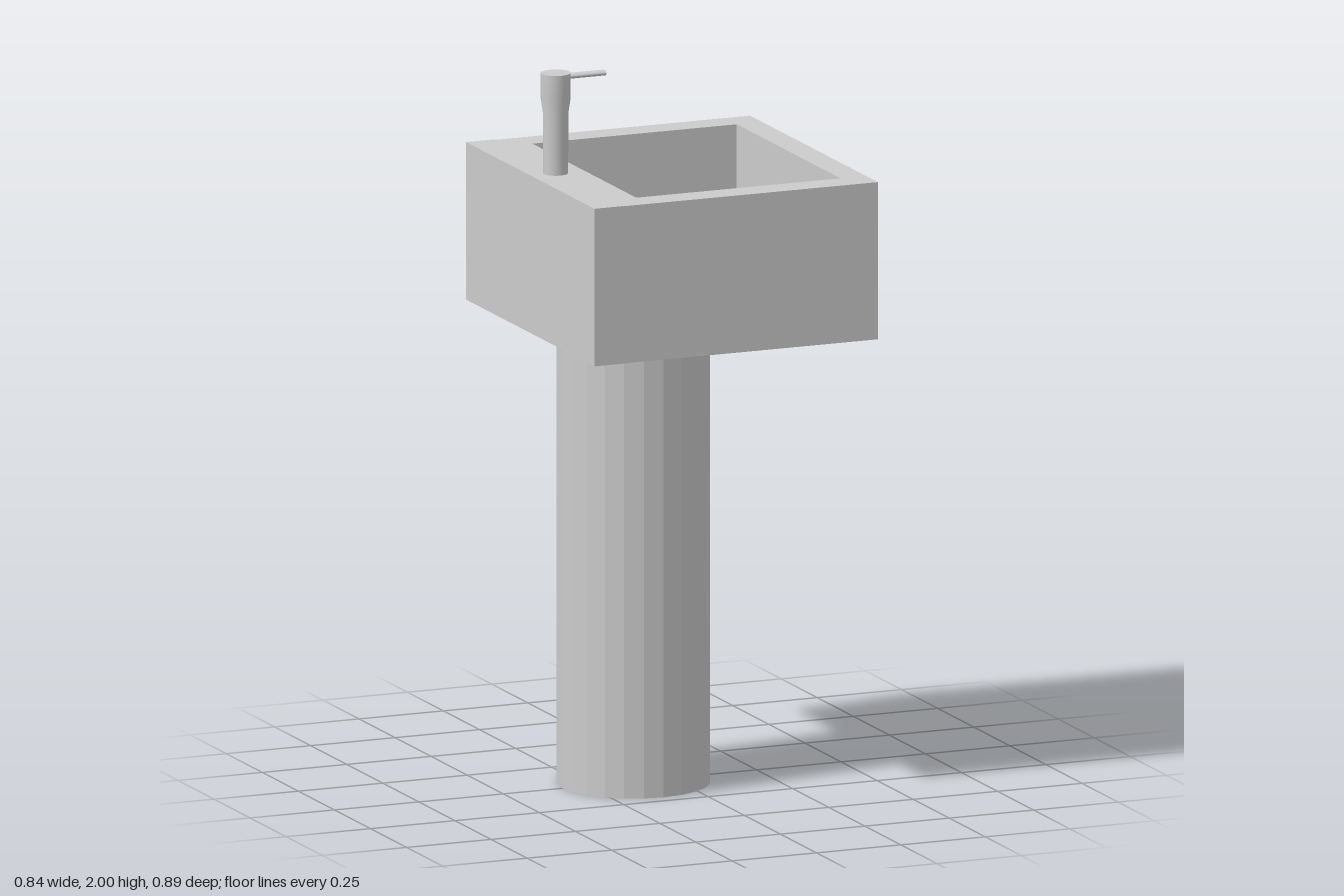
import * as THREE from 'three';

export function createModel() {
  const group = new THREE.Group();
  const smooth = new THREE.MeshStandardMaterial({ color: 0xcccccc });
  const flat = new THREE.MeshStandardMaterial({ color: 0xcccccc, flatShading: true });
  const black = new THREE.MeshStandardMaterial({ color: 0x0c0c0c });

  const add = (name, geometry, material, x = 0, y = 0, z = 0) => {
    const mesh = new THREE.Mesh(geometry, material);
    mesh.name = name;
    mesh.position.set(x, y, z);
    group.add(mesh);
    return mesh;
  };
  const rect = (target, x0, x1, z) => {
    target.moveTo(x0, -z);
    target.lineTo(x1, -z);
    target.lineTo(x1, z);
    target.lineTo(x0, z);
    target.closePath();
    return target;
  };

  // Extruded upward from a plan outline
  const slab = (shape, height) =>
    new THREE.ExtrudeGeometry(shape, { depth: height, bevelEnabled: false }).rotateX(-Math.PI / 2);

  const bottom = 1.28, top = 1.72, floor = 1.42;

  // Round pedestal
  add('pedestal', new THREE.CylinderGeometry(0.21, 0.21, bottom, 24), flat, -0.115, bottom / 2, 0);

  // Basin walls around the rectangular bowl
  const walls = rect(new THREE.Shape(), -0.335, 0.42, 0.443);
  walls.holes.push(rect(new THREE.Path(), -0.26, 0.345, 0.36));
  add('basinWalls', slab(walls, top - bottom - 0.001), flat, 0, bottom, 0);

  // Bowl floor, closing the underside as well
  add('bowlFloor', new THREE.BoxGeometry(0.605, floor - bottom, 0.72), flat, 0.0425, (floor + bottom) / 2, 0);

  // Tap ledge along one side, very slightly proud of the basin
  add('tapLedge', new THREE.BoxGeometry(0.085, top - bottom, 0.89), flat, -0.3775, (top + bottom) / 2, 0);

  // Eight-sided drain
  const drain = add('drain', new THREE.CylinderGeometry(0.04, 0.04, 0.004, 8), black, 0.043, floor + 0.001, 0);
  drain.scale.x = 0.83;

  // Tap body with a wider head
  const profile = [[0, 0], [0.034, 0], [0.034, 0], [0.035, 0.17], [0.041, 0.21], [0.041, 0.28]]
    .map(([r, y]) => new THREE.Vector2(r, y));
  add('tapBody', new THREE.LatheGeometry(profile, 32), smooth, -0.345, top, 0);
  const cap = add('tapCap', new THREE.CircleGeometry(0.041, 32), smooth, -0.345, 2, 0);
  cap.rotation.x = -Math.PI / 2;

  // Flattened spout reaching over the bowl
  const spout = new THREE.CylinderGeometry(0.015, 0.015, 0.13, 16).rotateZ(Math.PI / 2).scale(1, 0.5, 1);
  add('tapSpout', spout, smooth, -0.266, 1.988, 0);

  return group;
}
